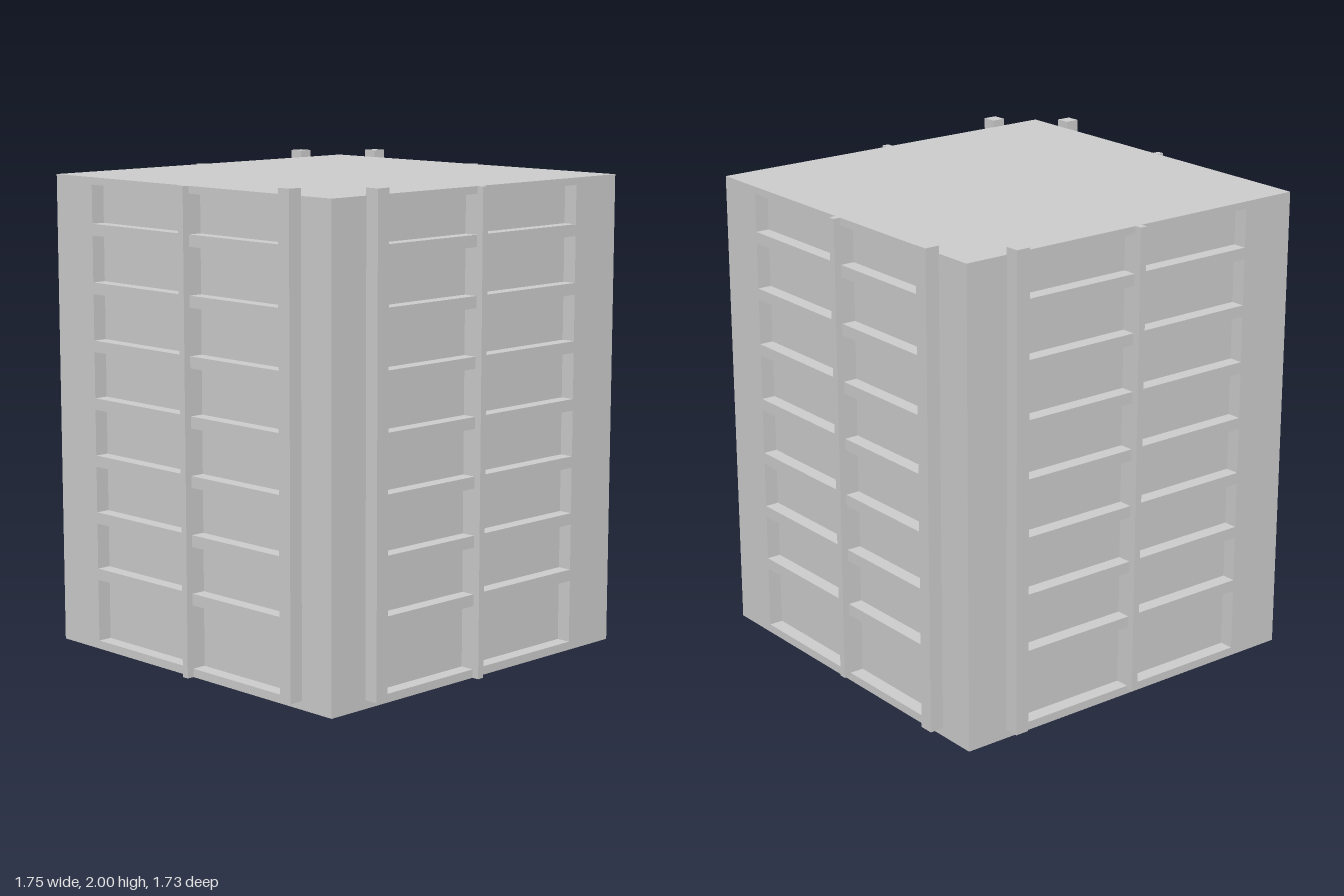
import * as THREE from 'three';

const H = 1.97, RECESS = 0.06;
const mat = new THREE.MeshStandardMaterial({ color: 0xcccccc, flatShading: true, side: THREE.DoubleSide });

function add(parent, name, geometry, x = 0, y = 0, z = 0) {
  const mesh = new THREE.Mesh(geometry, mat);
  mesh.name = name;
  mesh.position.set(x, y, z);
  parent.add(mesh);
  return mesh;
}

// Rectangle points for wall outlines and openings
function rect(x0, x1, y0, y1) {
  return [[x0, y0], [x1, y0], [x1, y1], [x0, y1]].map(([x, y]) => new THREE.Vector2(x, y));
}

// Recessed panel: a box without its front face
function tray(w, h, d) {
  const g = new THREE.BoxGeometry(w, h, d);
  const index = Array.from(g.index.array);
  index.splice(24, 6);
  g.setIndex(index);
  g.clearGroups();
  return g;
}

// Rows of openings between the seven slats
function openingRows() {
  const rows = [];
  let bottom = 0.035;
  for (let i = 0; i < 7; i++) {
    const slat = 0.32 + i * 0.2395;
    rows.push([bottom, slat - 0.024]);
    bottom = slat + 0.024;
  }
  rows.push([bottom, 1.94]);
  return rows;
}

// One wall, built facing +z
function createWall({ name, angle, halfWidth, distance, window: [left, right], barX, barBottom, postX }) {
  const wall = new THREE.Group();
  wall.name = name;
  wall.rotation.y = angle;

  // Thin shell with the openings cut out, plus the recessed panels behind them
  const shape = new THREE.Shape(rect(-halfWidth, halfWidth, 0, H));
  for (const [y0, y1] of openingRows()) {
    for (const [x0, x1] of [[left, barX - 0.015], [barX + 0.015, right]]) {
      shape.holes.push(new THREE.Path(rect(x0, x1, y0, y1)));
      add(wall, 'recessedPanel', tray(x1 - x0, y1 - y0, RECESS),
        (x0 + x1) / 2, (y0 + y1) / 2, distance - RECESS / 2);
    }
  }
  add(wall, 'slattedFrame', new THREE.ShapeGeometry(shape), 0, 0, distance);

  // Central upright and the taller post beside the window
  add(wall, 'centreBar', new THREE.BoxGeometry(0.03, H - barBottom, 0.06),
    barX, (H + barBottom) / 2, distance);
  add(wall, 'sidePost', new THREE.BoxGeometry(0.06, 1.965, 0.062),
    postX, 0.035 + 1.965 / 2, distance + 0.029);
  return wall;
}

export function createModel() {
  const model = new THREE.Group();
  model.name = 'slattedContainer';
  const X = 0.816, Z = 0.807;

  const walls = [
    { name: 'frontWall', angle: 0, halfWidth: X, distance: Z, window: [-0.575, 0.57], barX: -0.01, barBottom: 0, postX: -0.605 },
    { name: 'rightWall', angle: Math.PI / 2, halfWidth: Z, distance: X, window: [-0.59, 0.58], barX: -0.005, barBottom: 0.02, postX: 0.61 },
    { name: 'backWall', angle: Math.PI, halfWidth: X, distance: Z, window: [-0.57, 0.575], barX: 0.01, barBottom: 0.02, postX: -0.6 },
    { name: 'leftWall', angle: -Math.PI / 2, halfWidth: Z, distance: X, window: [-0.58, 0.585], barX: 0, barBottom: 0, postX: 0.615 },
  ];
  for (const wall of walls) model.add(createWall(wall));

  // Flat roof; the underside stays open
  add(model, 'roof', new THREE.PlaneGeometry(2 * X, 2 * Z), 0, H, 0).rotation.x = -Math.PI / 2;
  return model;
}
